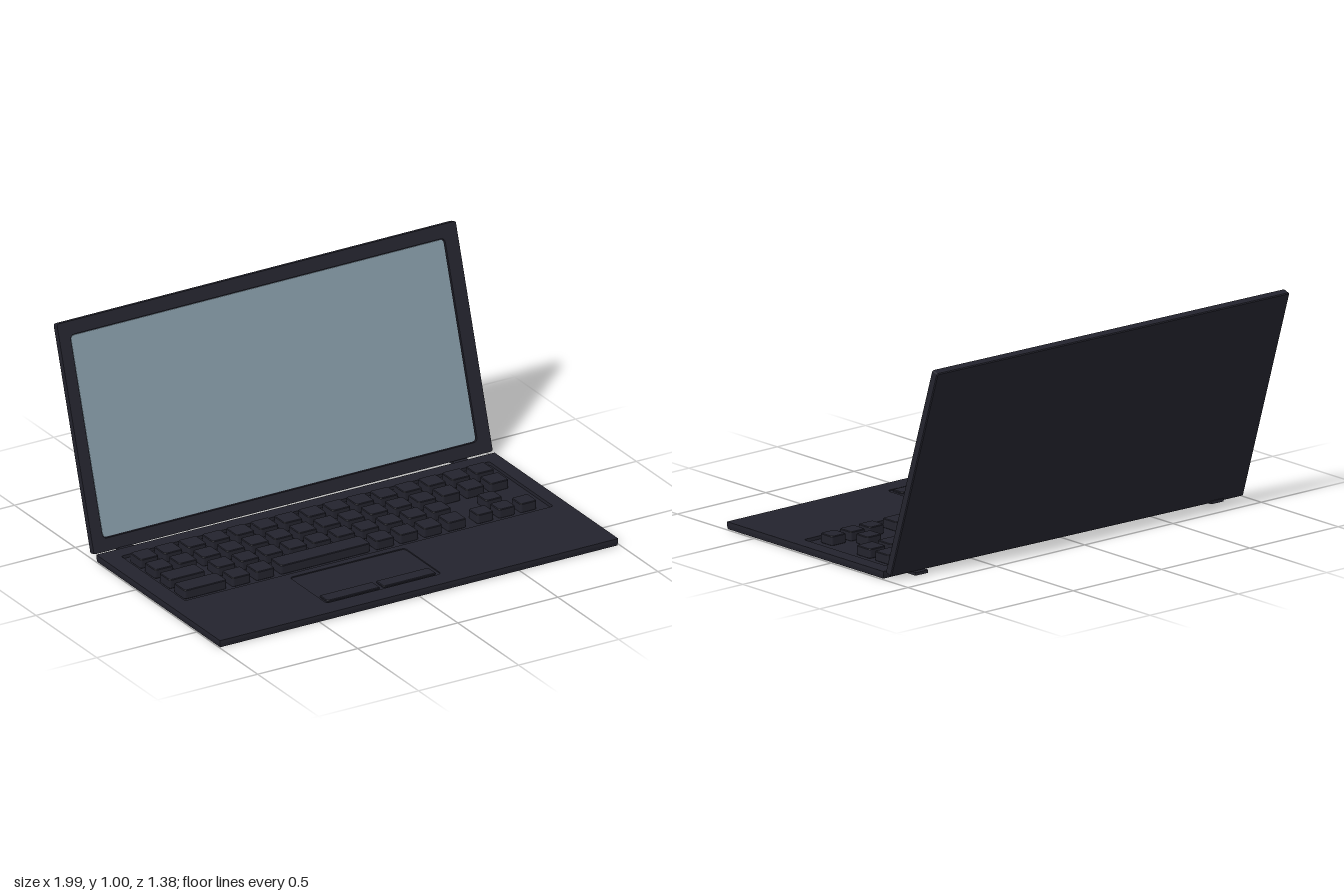
import * as THREE from 'three';

const body = new THREE.MeshStandardMaterial({ color: 0x23232d });
body.name = 'charcoal casing';
const glass = new THREE.MeshStandardMaterial({ color: 0x8297a3 });
glass.name = 'blue grey screen';

// Traces a rectangle with rounded corners into a Shape or Path.
function trace(path, x0, x1, y0, y1, r) {
  path.moveTo(x0 + r, y0);
  path.lineTo(x1 - r, y0);
  path.quadraticCurveTo(x1, y0, x1, y0 + r);
  path.lineTo(x1, y1 - r);
  path.quadraticCurveTo(x1, y1, x1 - r, y1);
  path.lineTo(x0 + r, y1);
  path.quadraticCurveTo(x0, y1, x0, y1 - r);
  path.lineTo(x0, y0 + r);
  path.quadraticCurveTo(x0, y0, x0 + r, y0);
  return path;
}

// Extrudes a rounded rectangle along z from 0 to depth; bevel stays inside the outline.
function plate([x0, x1, y0, y1], r, depth, { holes = [], bevel = 0 } = {}) {
  const shape = trace(new THREE.Shape(), x0, x1, y0, y1, r);
  for (const h of holes) shape.holes.push(trace(new THREE.Path(), ...h));
  const geo = new THREE.ExtrudeGeometry(shape, {
    depth: depth - 2 * bevel, curveSegments: 4, bevelEnabled: bevel > 0,
    bevelThickness: bevel, bevelSize: bevel, bevelOffset: -bevel, bevelSegments: 1,
  });
  return geo.translate(0, 0, bevel);
}

function add(parent, name, geo, material = body) {
  const mesh = new THREE.Mesh(geo, material);
  mesh.name = name;
  parent.add(mesh);
  return mesh;
}

// Horizontal plate given by its x and z range, standing from y0 to y1.
function slab(parent, name, [x0, x1, z0, z1], y0, y1, r = 0.01, options = {}) {
  const holes = (options.holes || []).map(([a, b, c, d, hr]) => [a, b, -d, -c, hr]);
  const geo = plate([x0, x1, -z1, -z0], r, y1 - y0, { ...options, holes });
  geo.rotateX(-Math.PI / 2).translate(0, y0, 0);
  return add(parent, name, geo);
}

function createBase() {
  const base = new THREE.Group();
  base.name = 'base';
  const outline = [-0.998, 0.992, -0.33, 0.687];

  // Lower tray, narrowing slightly towards the bottom
  const tray = new THREE.BoxGeometry(1.99, 0.018, 1.017);
  const p = tray.attributes.position;
  for (let i = 0; i < p.count; i++) {
    if (p.getY(i) < 0) p.setXYZ(i, p.getX(i) * 0.997, p.getY(i), p.getZ(i) * 0.994);
  }
  tray.computeVertexNormals();
  add(base, 'lowerTray', tray).position.set(-0.003, 0.009, 0.1785);

  // Deck with the keyboard and touchpad wells
  slab(base, 'deck', outline, 0.018, 0.033, 0.003, {
    holes: [[-0.915, 0.925, -0.263, 0.263, 0.012], [-0.412, 0.163, 0.295, 0.598, 0.02]],
  });
  slab(base, 'touchpad', [-0.412, 0.163, 0.295, 0.598], 0.017, 0.028, 0.02);
  for (const [x0, x1] of [[-0.402, -0.137], [-0.12, 0.143]]) {
    slab(base, 'touchpadButton', [x0, x1, 0.522, 0.588], 0.026, 0.037, 0.012, { bevel: 0.003 });
  }

  // Hinge tabs
  for (const x of [-0.836, 0.838]) {
    slab(base, 'hinge', [x - 0.036, x + 0.036, -0.405, -0.32], 0.008, 0.021, 0.004);
  }
  return base;
}

function createKeyboard() {
  const keyboard = new THREE.Group();
  keyboard.name = 'keyboard';
  const key = (x0, x1, z0, z1, name = 'key') =>
    slab(keyboard, name, [x0, x1, z0, z1], 0.017, 0.06, 0.012, { bevel: 0.003 });
  const rows = [[-0.226, -0.136], [-0.107, -0.017], [0.013, 0.102], [0.135, 0.226]];
  const square = (row, column) => {
    const x = -0.848 + column * 0.1197;
    key(x - 0.046, x + 0.046, ...rows[row]);
  };

  // Square keys, as first and last column of each run
  for (const [row, first, last] of [[0, 0, 14], [1, 0, 14], [2, 2, 11], [3, 2, 3], [3, 8, 11]]) {
    for (let c = first; c <= last; c++) square(row, c);
  }
  // Wide keys
  key(-0.894, -0.715, ...rows[2], 'wideKey');
  key(-0.894, -0.682, ...rows[3], 'wideKey');
  key(-0.413, 0.034, ...rows[3], 'spaceBar');
  // Arrow keys
  for (const [x, z] of [[0.718, 0.079], [0.611, 0.186], [0.718, 0.186], [0.826, 0.186]]) {
    key(x - 0.041, x + 0.041, z - 0.039, z + 0.039, 'arrowKey');
  }
  return keyboard;
}

function createLid() {
  const lid = new THREE.Group();
  lid.name = 'lid';
  const w = 0.9925, h = 1.012;
  const back = plate([-w, w, 0, h], 0.01, 0.022, { bevel: 0.004 });
  add(lid, 'lidBack', back.translate(0, 0, -0.017));
  const frame = plate([-w, w, 0, h], 0.01, 0.017, {
    holes: [[-0.937, 0.927, 0.056, 0.952, 0.022]],
  });
  add(lid, 'screenFrame', frame);
  const screen = plate([-0.932, 0.922, 0.061, 0.947, 0.02], 0.018, 0.006);
  add(lid, 'screen', screen.translate(0, 0, 0.004), glass);

  // Leaning back, a touch out of square
  lid.position.set(0.004, 0.019, -0.374);
  lid.rotation.set(-0.3, -0.008, 0.004);
  return lid;
}

export function createModel() {
  const model = new THREE.Group();
  model.name = 'laptop';
  model.add(createBase(), createKeyboard(), createLid());
  return model;
}
